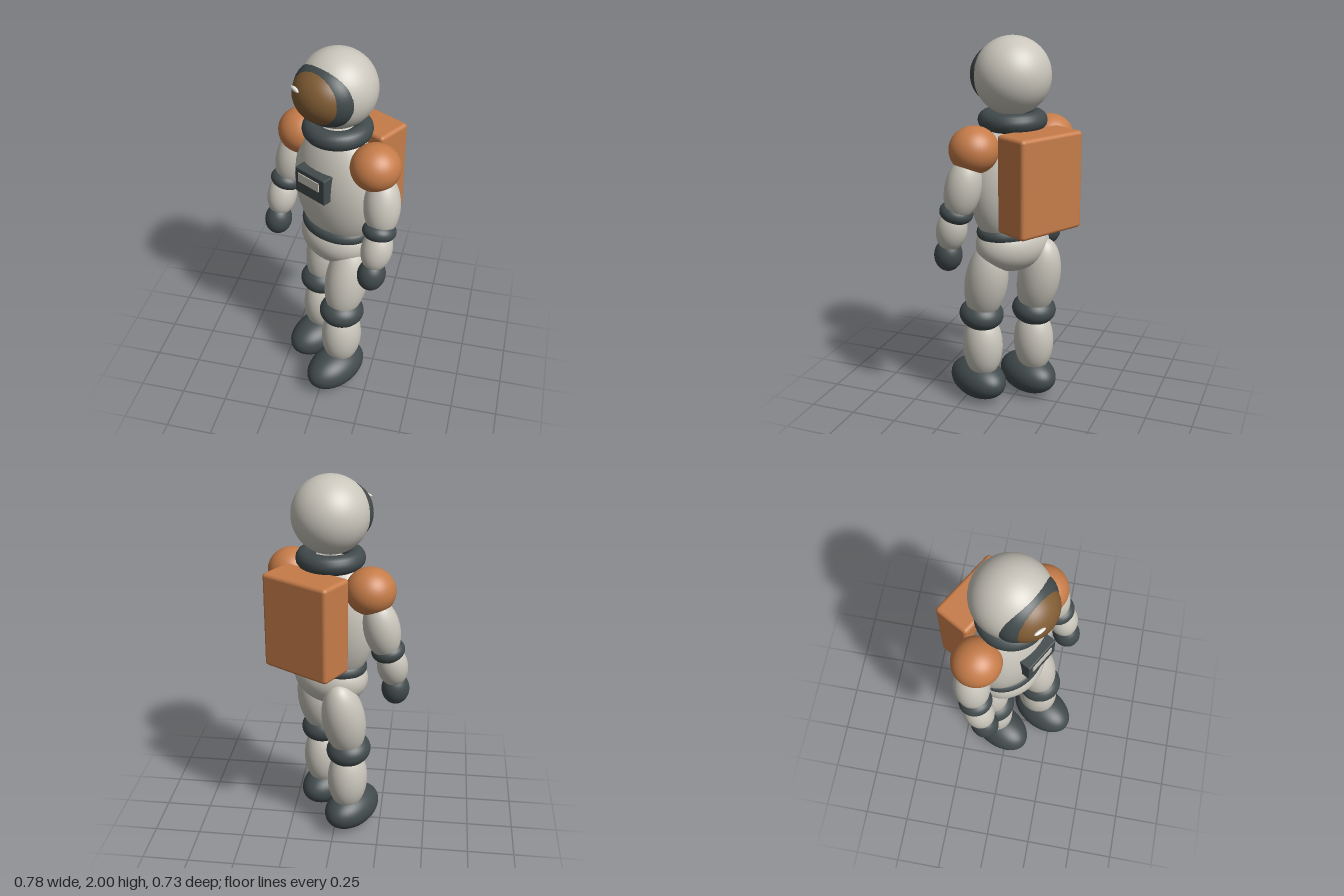
import * as THREE from 'three';
import { RoundedBoxGeometry } from 'three/addons/geometries/RoundedBoxGeometry.js';

const mat = (name, color) => {
  const m = new THREE.MeshStandardMaterial({ color });
  m.name = name;
  return m;
};

export function createModel() {
  const suit = mat('suit grey', 0xcac6bc);
  const orange = mat('orange', 0xc67c49);
  const dark = mat('dark trim', 0x414a4c);
  const bronze = mat('visor bronze', 0x805c34);
  const glint = mat('glint', 0xe8e8e4);

  // The figure is modelled facing +z, then turned towards its right.
  const figure = new THREE.Group();
  figure.name = 'astronaut';
  figure.rotation.y = -Math.PI / 6;
  figure.position.x = 0.03;

  const ball = new THREE.SphereGeometry(1, 40, 28);
  const add = (name, geometry, material, pos, rot = [0, 0, 0]) => {
    const mesh = new THREE.Mesh(geometry, material);
    mesh.name = name;
    mesh.position.set(...pos);
    mesh.rotation.set(...rot);
    figure.add(mesh);
    return mesh;
  };
  const blob = (name, material, pos, radii, rot) => {
    add(name, ball, material, pos, rot).scale.set(...radii);
  };

  // Trunk
  blob('torso', suit, [0, 1.25, 0], [0.255, 0.36, 0.172]);
  blob('pelvis', suit, [0, 0.92, 0], [0.212, 0.15, 0.165]);
  const ring = (name, y, radius, tube, sx, sz) => {
    const g = new THREE.TorusGeometry(radius, tube, 16, 48).rotateX(Math.PI / 2);
    add(name, g, dark, [0, y, 0]).scale.set(sx, 1, sz);
  };
  ring('belt', 0.995, 0.165, 0.037, 1.03, 0.77);
  ring('neckRing', 1.58, 0.128, 0.05, 1, 1);

  // Helmet and visor
  blob('helmet', suit, [0, 1.802, 0], [0.198, 0.198, 0.198]);
  blob('visorFrame', dark, [0, 1.802, 0.08], [0.18, 0.162, 0.135]);
  blob('visor', bronze, [0, 1.805, 0.1], [0.16, 0.143, 0.14]);
  blob('visorGlint', glint, [-0.066, 1.857, 0.222], [0.032, 0.011, 0.01], [0, -0.2, -0.1]);

  // Chest control panel
  add('chestPanel', new RoundedBoxGeometry(0.2, 0.145, 0.07, 2, 0.006), dark, [0, 1.328, 0.168]);
  add('panelScreen', new THREE.BoxGeometry(0.14, 0.05, 0.006), suit, [-0.005, 1.35, 0.205]);

  // Backpack
  add('backpack', new RoundedBoxGeometry(0.395, 0.505, 0.2, 3, 0.02), orange, [-0.003, 1.293, -0.212]);

  for (const s of [1, -1]) {
    const side = s > 0 ? 'left' : 'right';

    // Arm, bent slightly forward
    blob(side + 'Shoulder', orange, [s * 0.25, 1.458, -0.004], [0.127, 0.12, 0.127]);
    blob(side + 'UpperArm', suit, [s * 0.312, 1.265, 0.01], [0.093, 0.165, 0.093], [-0.17, 0, s * 0.13]);
    blob(side + 'Elbow', dark, [s * 0.33, 1.138, 0.045], [0.087, 0.056, 0.087], [-0.25, 0, s * 0.08]);
    blob(side + 'Forearm', suit, [s * 0.341, 1.042, 0.073], [0.08, 0.122, 0.08], [-0.28, 0, 0]);
    blob(side + 'Glove', dark, [s * 0.341, 0.897, 0.108], [0.072, 0.088, 0.076], [-0.2, 0, 0]);

    // Leg, the left one a step ahead
    const z = s > 0 ? 0.062 : -0.062;
    blob(side + 'Thigh', suit, [s * 0.131, 0.71, z], [0.114, 0.237, 0.117], [-0.24, 0, 0]);
    blob(side + 'Knee', dark, [s * 0.134, 0.512, z + 0.041], [0.119, 0.084, 0.123], [-0.12, 0, 0]);
    blob(side + 'Shin', suit, [s * 0.13, 0.325, z + 0.038], [0.106, 0.19, 0.115]);
    blob(side + 'Boot', dark, [s * 0.129, 0.109, z + 0.084], [0.125, 0.109, 0.192]);
  }

  const model = new THREE.Group();
  model.add(figure);
  return model;
}
